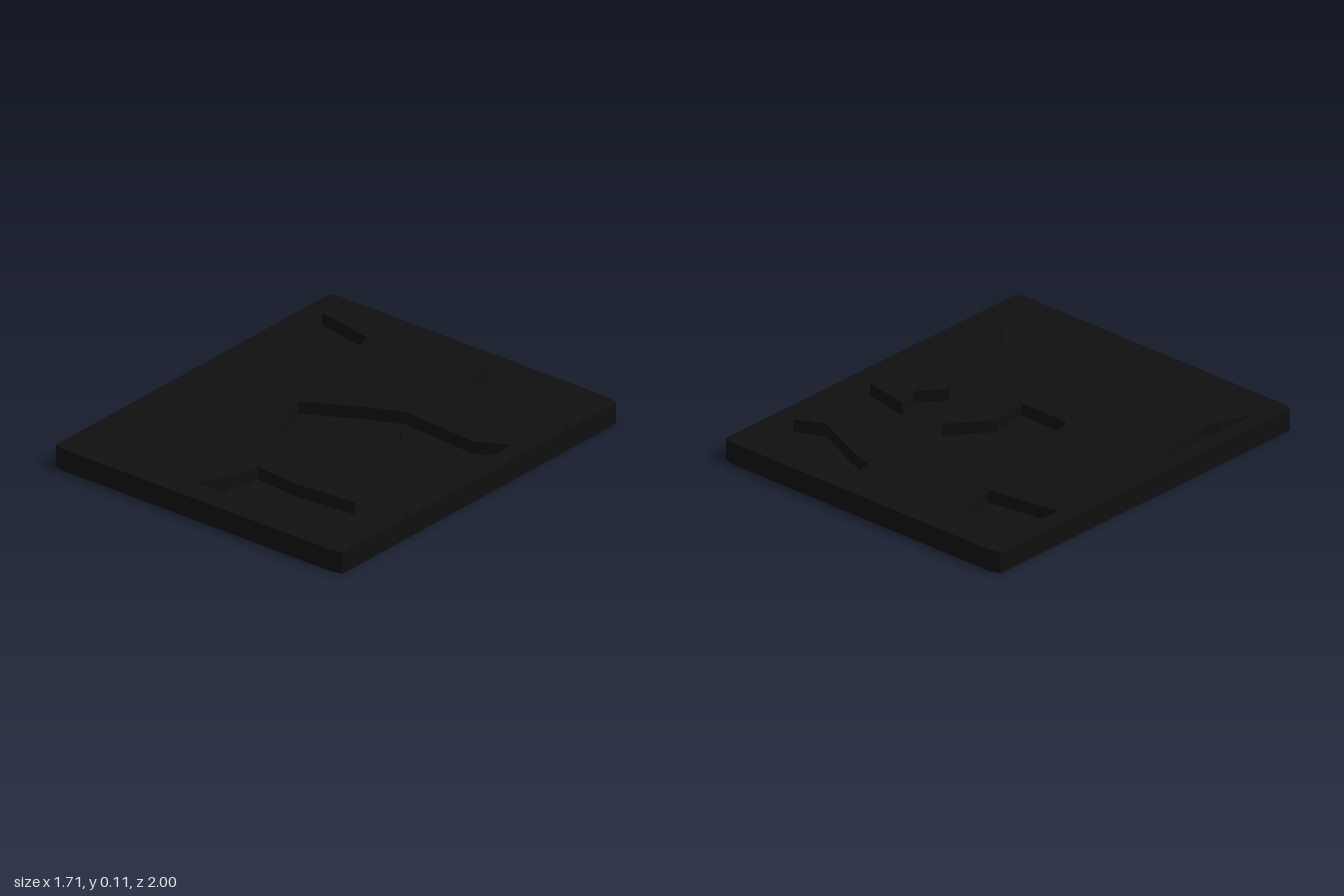
import * as THREE from 'three';

const material = new THREE.MeshStandardMaterial({ color: 0x101010, flatShading: true });

// Plan outlines are [x, z]; the slab is raised from y0 to y1.
const toPoints = (pts) => pts.map(([x, z]) => new THREE.Vector2(x, -z));

function slab(name, outline, y0, y1, hole) {
  const shape = new THREE.Shape(toPoints(outline));
  if (hole) shape.holes.push(new THREE.Path(toPoints(hole)));
  const geometry = new THREE.ExtrudeGeometry(shape, { depth: y1 - y0, bevelEnabled: false });
  geometry.rotateX(-Math.PI / 2).translate(0, y0, 0);
  const mesh = new THREE.Mesh(geometry, material);
  mesh.name = name;
  return mesh;
}

export function createModel() {
  const group = new THREE.Group();
  group.name = 'floorTile';

  // Outer outline with slightly clipped corners
  const outer = [
    [-0.8, -1], [0.8, -1], [0.855, -0.985], [0.855, 0.985],
    [0.8, 1], [-0.8, 1], [-0.855, 0.985], [-0.855, -0.985],
  ];
  const inner = [[-0.77, -0.89], [0.76, -0.89], [0.76, 0.87], [-0.77, 0.87]];

  // Raised surface, broken by jagged pockets along its border
  const surface = [
    [-0.77, -0.89], [0.17, -0.89],
    [0.2, -0.73], [0.35, -0.68], [0.62, -0.56], [0.76, -0.63], // back right pocket
    [0.76, -0.36], [0.6, -0.27], [0.17, -0.3], [0, -0.23], [-0.28, -0.07], // central crack
    [-0.18, 0.2], [0.1, 0.2], [0.07, 0], [0.23, -0.2], [0.44, 0.09],
    [0.55, -0.04], [0.5, -0.17], [0.75, -0.12],
    [0.75, 0.79], [0.57, 0.55], [0.25, 0.58], [0, 0.56], [-0.05, 0.75], [-0.14, 0.87], // front pocket
    [-0.77, 0.87], [-0.77, 0.85], [-0.67, 0.6], [-0.77, 0], // left sliver
    [-0.77, -0.49], [-0.38, -0.55], [-0.45, -0.77], [-0.77, -0.83], // back left pocket
  ];

  group.add(slab('base', outer, 0, 0.04));
  group.add(slab('rim', outer, 0.04, 0.11, inner));
  group.add(slab('crackedSurface', surface, 0.04, 0.104));
  return group;
}
